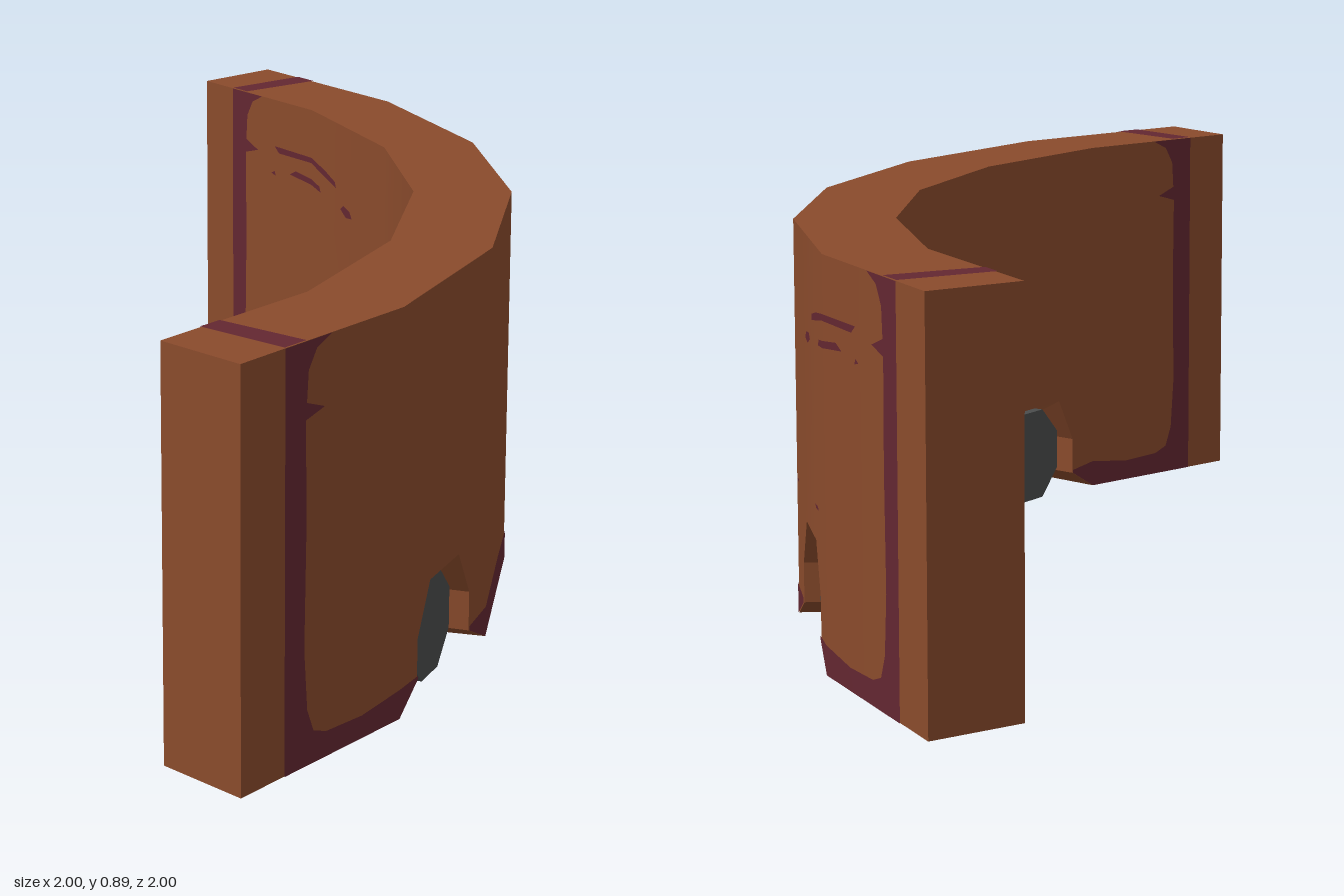
import * as THREE from 'three';
import { mergeGeometries } from 'three/addons/utils/BufferGeometryUtils.js';

const H = 0.89, OUT = 2, IN = 1.775, SEGS = 6, STEP = Math.PI / 2 / SEGS, LIFT = 0.002;

const mat = (name, color) => {
  const m = new THREE.MeshStandardMaterial({ color });
  m.name = name;
  return m;
};

// Point on the faceted quarter ring: u counts segments, r is the corner radius
function ring(u, y, r) {
  const k = Math.min(Math.floor(u), SEGS - 1), t = u - k;
  const a = k * STEP, b = a + STEP;
  return [
    -1 + r * (Math.sin(a) * (1 - t) + Math.sin(b) * t), y,
    -1 + r * (Math.cos(a) * (1 - t) + Math.cos(b) * t)];
}

// Flat (u, y) outline wrapped on the outer or inner face, with smooth radial normals
function panel(points, outer, lift = 0) {
  const g = new THREE.ShapeGeometry(new THREE.Shape(points.map(p => new THREE.Vector2(...p))));
  const pos = g.attributes.position, nor = g.attributes.normal, s = outer ? 1 : -1;
  for (let i = 0; i < pos.count; i++) {
    const u = pos.getX(i), a = u * STEP;
    pos.setXYZ(i, ...ring(u, pos.getY(i), outer ? OUT + lift : IN - lift));
    nor.setXYZ(i, s * Math.sin(a), 0, s * Math.cos(a));
  }
  if (!outer) g.index.array.reverse();
  g.deleteAttribute('uv');
  return g.toNonIndexed();
}

// Quads spanning the wall thickness along a (u, y) path, solid on the left of travel
function strip(path) {
  const v = [];
  for (let i = 0; i + 1 < path.length; i++) {
    const [a, b] = [path[i], path[i + 1]];
    const ao = ring(...a, OUT), ai = ring(...a, IN), bo = ring(...b, OUT), bi = ring(...b, IN);
    v.push(...ao, ...ai, ...bi, ...ao, ...bi, ...bo);
  }
  const g = new THREE.BufferGeometry();
  g.setAttribute('position', new THREE.Float32BufferAttribute(v, 3));
  g.computeVertexNormals();
  return g;
}

export function createModel() {
  const group = new THREE.Group();
  const brown = mat('brown', 0x8a4b2c), maroon = mat('maroon', 0x632731), grey = mat('grey', 0x4b4d4d);
  const add = (name, geometry, material) => {
    const m = new THREE.Mesh(geometry, material);
    m.name = name;
    group.add(m);
    return m;
  };
  const bothFaces = (points, lift) => [panel(points, true, lift), panel(points, false, lift)];

  // Curved wall with an arch cut into the second and fifth segments
  const arch = [[0.2, 0.05], [0.2, 0.14], [0.335, 0.25], [0.665, 0.25], [0.8, 0.14], [0.8, 0.05]];
  const wall = [];
  for (let k = 0; k < SEGS; k++) {
    const cut = k === 1 || k === 4 ? arch.map(([t, y]) => [k + t, y]) : [];
    const bottom = [[k, 0], ...cut, [k + 1, 0]];
    wall.push(...bothFaces([...bottom, [k + 1, H], [k, H]]));
    wall.push(strip(bottom), strip([[k + 1, H], [k, H]]));
  }
  wall.push(strip([[SEGS, 0], [SEGS, H]]), strip([[0, H], [0, 0]]));
  add('curvedWall', mergeGeometries(wall), brown);

  // Worn painted bands around both ends
  const band = [[0.26, 0], [0.39, 0], [0.52, 0.055], [0.44, 0.07], [0.4, 0.12], [0.38, 0.25], [0.39, 0.5],
    [0.385, 0.73], [0.5, 0.745], [0.39, 0.765], [0.4, 0.83], [0.45, 0.87], [0.54, H], [0.26, H]];
  const endBand = [];
  for (const f of [u => u, u => SEGS - u]) {
    endBand.push(...bothFaces(band.map(([u, y]) => [f(u), y]), LIFT));
    const [a, b] = [f(0.26), f(0.39)].sort((p, q) => p - q);
    endBand.push(strip([[b, H + LIFT], [a, H + LIFT]]), strip([[a, -LIFT], [b, -LIFT]]));
  }
  add('endBands', mergeGeometries(endBand), maroon);

  // Painted skirting along the lower edge, broken by the arches
  const skirt = [];
  const half = [
    [[0.39, 0], [1, 0], [1, 0.065], [0.75, 0.05], [0.52, 0.055]],
    [[1, 0], [1.2, 0.05], [1.2, 0.058], [1, 0.065]],
    [[1.8, 0.05], [2, 0], [2, 0.07], [1.8, 0.06]],
    [[2, 0], [3, 0], [3, 0.068], [2.6, 0.075], [2, 0.07]]];
  for (const p of half) {
    skirt.push(...bothFaces(p, LIFT), ...bothFaces(p.map(([u, y]) => [SEGS - u, y]), LIFT));
  }
  add('skirting', mergeGeometries(skirt), maroon);

  // Scratches near one end
  const scratches = [
    [[4.64, 0.722], [4.8, 0.735], [5, 0.752], [5, 0.766], [4.8, 0.752], [4.66, 0.737]],
    [[5, 0.752], [5.3, 0.752], [5.34, 0.768], [5, 0.766]],
    [[4.42, 0.665], [4.5, 0.66], [4.58, 0.675], [4.54, 0.687], [4.45, 0.68]],
    [[4.86, 0.688], [5, 0.695], [5, 0.71], [4.88, 0.702]],
    [[5, 0.695], [5.2, 0.705], [5.14, 0.718], [5, 0.71]],
    [[5.33, 0.69], [5.37, 0.695], [5.34, 0.702]],
    [[4.7, 0.325], [4.8, 0.328], [4.78, 0.335], [4.7, 0.333]],
    [[4.04, 0.312], [4.1, 0.31], [4.1, 0.318]]];
  add('scratches', mergeGeometries(scratches.flatMap(p => bothFaces(p, LIFT))), maroon);

  // Eight-sided rollers in the arches, axles pointing outward
  const apothem = 0.115;
  let roller = new THREE.CylinderGeometry(apothem / Math.cos(Math.PI / 8), apothem / Math.cos(Math.PI / 8), 0.16, 8);
  roller.rotateY(Math.PI / 8).rotateX(Math.PI / 2);
  roller = roller.toNonIndexed();
  roller.computeVertexNormals();
  for (const [name, u] of [['rightRoller', 1.5], ['leftRoller', 4.5]]) {
    const a = u * STEP, m = add(name, roller, grey);
    m.position.set(-1 + 1.872 * Math.sin(a), apothem, -1 + 1.872 * Math.cos(a));
    m.rotation.y = a;
  }
  return group;
}
